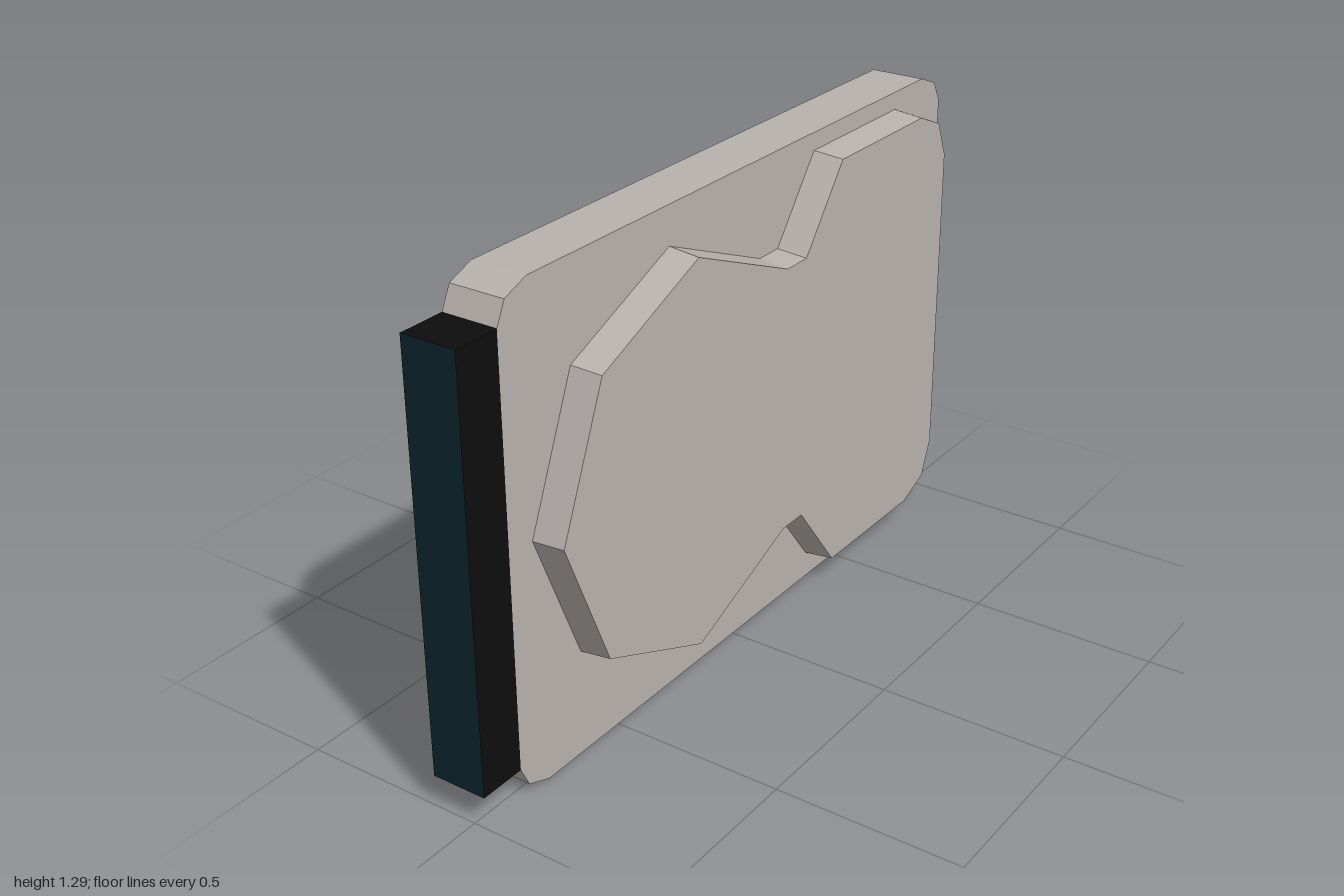
import * as THREE from 'three';

const BACK = -0.117, PLATE = 0.034, TOP = 0.117; // depths along x

const grey = new THREE.MeshStandardMaterial({ name: 'warmGrey', color: 0xb8b2ae, side: THREE.DoubleSide, flatShading: true });
const black = new THREE.MeshStandardMaterial({ name: 'black', color: 0x0d0d0e, side: THREE.DoubleSide, flatShading: true });
const teal = new THREE.MeshStandardMaterial({ name: 'darkTeal', color: 0x0e2530, side: THREE.DoubleSide, flatShading: true });

// Outlines are (u, y) points with u = -z, anticlockwise as seen from +x.
const points = (list) => list.map(([u, y]) => new THREE.Vector2(u, y));

// Mirrors the lower half of an outline about a horizontal line.
const mirrored = (lower, midY) =>
  lower.concat(lower.filter((p) => Math.abs(p.y - midY) > 1e-3).reverse()
    .map((p) => new THREE.Vector2(p.x, 2 * midY - p.y)));

// Moves every edge of an outline inward by d.
function inset(ring, d) {
  const n = ring.length;
  const normal = (a, b) => new THREE.Vector2(a.y - b.y, b.x - a.x).normalize();
  return ring.map((p, i) => {
    const n1 = normal(ring[(i + n - 1) % n], p), n2 = normal(p, ring[(i + 1) % n]);
    return p.clone().addScaledVector(n1.clone().add(n2), d / (1 + n1.dot(n2)));
  });
}

// Thin wall joining two rings at two depths.
function wall(ringA, xA, ringB, xB, closed) {
  const pos = [], n = ringA.length;
  for (let i = 0; i < (closed ? n : n - 1); i++) {
    const j = (i + 1) % n;
    const a = [xA, ringA[i].y, -ringA[i].x], b = [xA, ringA[j].y, -ringA[j].x];
    const c = [xB, ringB[j].y, -ringB[j].x], d = [xB, ringB[i].y, -ringB[i].x];
    pos.push(...a, ...b, ...d, ...b, ...c, ...d);
  }
  const g = new THREE.BufferGeometry();
  g.setAttribute('position', new THREE.Float32BufferAttribute(pos, 3));
  g.computeVertexNormals();
  return g;
}

// Flat sheet facing +x.
function sheet(ring, x, hole) {
  const shape = new THREE.Shape(ring);
  if (hole) shape.holes.push(new THREE.Path(hole));
  return new THREE.ShapeGeometry(shape).rotateY(Math.PI / 2).translate(x, 0, 0);
}

export function createModel() {
  const group = new THREE.Group();
  const add = (name, geometry, material) => {
    const mesh = new THREE.Mesh(geometry, material);
    mesh.name = name;
    group.add(mesh);
  };

  // Tray outline with bevelled corners, starting and ending at the front opening
  const tray = mirrored(points([
    [-0.87, 0.085], [-0.842, 0.028], [-0.77, 0], [0.9, 0], [0.97, 0.028], [1, 0.085],
  ]), 0.645);

  // Raised panel outline
  const panel = mirrored(points([
    [-0.79, 0.658], [-0.635, 0.285], [-0.262, 0.128], [0.115, 0.285], [0.195, 0.285],
    [0.357, 0.074], [0.758, 0.074], [0.86, 0.117], [0.902, 0.22],
  ]), 0.658);
  const panelTop = inset(panel, 0.008);

  add('trayRim', wall(tray, BACK, tray, PLATE, false), grey);
  add('trayPlate', sheet(tray, PLATE, panel), grey);
  add('raisedPanelWall', wall(panel, PLATE, panelTop, TOP, true), grey);
  add('raisedPanelFace', sheet(panelTop, TOP), grey);

  // Front box, open towards the tray
  const box = new THREE.BoxGeometry(PLATE - BACK, 1.12, 0.13);
  box.setIndex([...box.index.array].slice(0, 30));
  box.groups.pop();
  box.translate((PLATE + BACK) / 2, 0.645, 0.935);
  add('frontBox', box, [black, black, black, black, teal]);

  return group;
}
